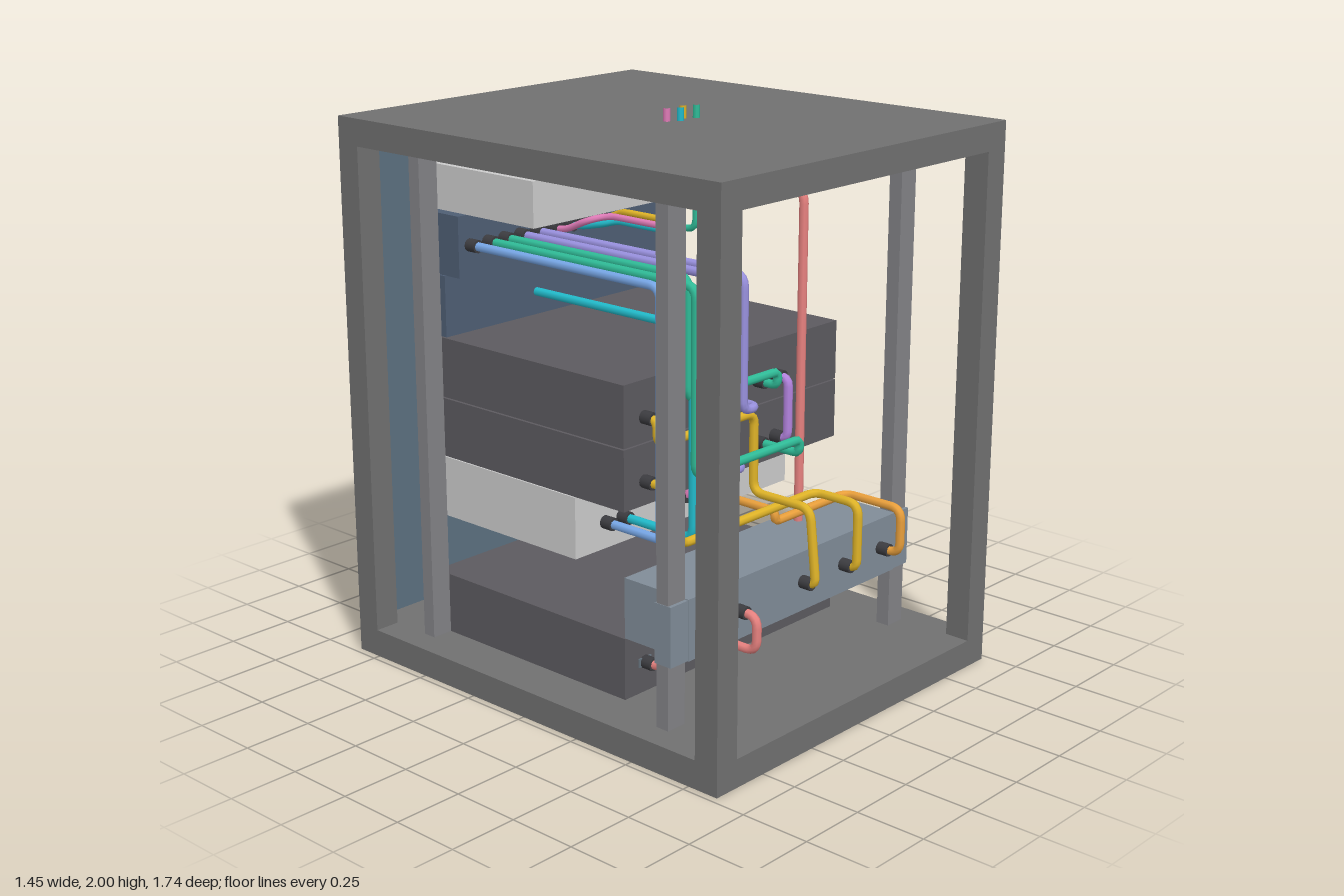
import * as THREE from 'three';

const mat = (color) => new THREE.MeshStandardMaterial({ color });
const frameMat = mat(0x707070), railMat = mat(0x828286), darkMat = mat(0x5c5a5f);
const lightMat = mat(0xcccccc), switchMat = mat(0x4e5e74), powerMat = mat(0x808c98);
const panelMat = mat(0x5c7080), plugMat = mat(0x3c3c40), portMat = mat(0x66747f);
const RED = mat(0xe88280), YELLOW = mat(0xe0b428), ORANGE = mat(0xeaa03c), TEAL = mat(0x30bc98);
const CYAN = mat(0x22bccc), BLUE = mat(0x78a8e8), LAVENDER = mat(0x9a92e0), PURPLE = mat(0xb484e0), PINK = mat(0xe07cb8);

// Polyline with rounded corners
function roundedPath(points, radius) {
  const p = points.map((a) => new THREE.Vector3(...a));
  const path = new THREE.CurvePath();
  let last = p[0];
  const line = (to) => {
    if (last.distanceTo(to) > 1e-4) path.add(new THREE.LineCurve3(last.clone(), to.clone()));
    last = to;
  };
  for (let i = 1; i < p.length - 1; i++) {
    const toPrev = p[i - 1].clone().sub(p[i]), toNext = p[i + 1].clone().sub(p[i]);
    const r = Math.min(radius, toPrev.length() * 0.49, toNext.length() * 0.49);
    const a = p[i].clone().addScaledVector(toPrev.normalize(), r);
    const b = p[i].clone().addScaledVector(toNext.normalize(), r);
    line(a);
    path.add(new THREE.QuadraticBezierCurve3(a, p[i], b));
    last = b;
  }
  line(p[p.length - 1]);
  return path;
}

export function createModel() {
  const root = new THREE.Group();
  root.name = 'equipmentRack';

  // Box given by its limits on each axis
  function box(name, material, [x0, x1], [y0, y1], [z0, z1], parent = root) {
    const mesh = new THREE.Mesh(new THREE.BoxGeometry(x1 - x0, y1 - y0, z1 - z0), material);
    mesh.position.set((x0 + x1) / 2, (y0 + y1) / 2, (z0 + z1) / 2);
    mesh.name = name;
    parent.add(mesh);
    return mesh;
  }

  // Cable tube; plugs sit on the ends that enter a device along z
  function cable(name, material, points, { r = 0.016, plugs = [true, true], bend = 0.045 } = {}) {
    const group = new THREE.Group();
    group.name = name;
    const path = roundedPath(points, bend);
    const tube = new THREE.Mesh(
      new THREE.TubeGeometry(path, Math.max(12, Math.ceil(path.getLength() / 0.014)), r, 8), material);
    tube.name = 'cableSleeve';
    group.add(tube);
    const ends = [[points[0], points[1]], [points[points.length - 1], points[points.length - 2]]];
    ends.forEach(([end, next], i) => {
      if (!plugs[i]) return;
      const plug = new THREE.Mesh(new THREE.CylinderGeometry(0.023, 0.023, 0.046, 12), plugMat);
      plug.rotation.x = Math.PI / 2;
      plug.position.set(end[0], end[1], end[2] + Math.sign(next[2] - end[2]) * 0.021);
      plug.name = 'plug';
      group.add(plug);
    });
    root.add(group);
  }

  // Cabinet: solid floor and roof, corner posts, back door
  box('floor', frameMat, [-0.725, 0.725], [0, 0.1], [-0.85, 0.87]);
  box('roof', frameMat, [-0.725, 0.725], [1.86, 1.955], [-0.85, 0.87]);
  box('backDoor', panelMat, [-0.625, 0.625], [0.1, 1.86], [-0.87, -0.848]);
  box('cableEntryPlate', plugMat, [-0.175, 0.175], [1.85, 1.862], [-0.005, 0.125]);
  for (const s of [-1, 1]) {
    const span = (a, b) => (s > 0 ? [a, b] : [-b, -a]);
    box('frontPost', frameMat, span(0.63, 0.725), [0.1, 1.86], [0.777, 0.87]);
    box('backPost', frameMat, span(0.63, 0.725), [0.1, 1.86], [-0.85, -0.755]);
    box('frontRail', railMat, span(0.55, 0.63), [0.1, 1.86], [0.526, 0.577]);
    box('backRail', railMat, span(0.55, 0.63), [0.1, 1.86], [-0.605, -0.555]);
    box('powerUnitEar', powerMat, span(0.548, 0.632), [0.325, 0.535], [0.52, 0.59]);
  }

  // Rack devices, bottom to top
  const W = [-0.55, 0.55];
  box('batteryUnit', darkMat, W, [0.1, 0.32], [-0.62, 0.31]);
  box('powerUnit', powerMat, W, [0.323, 0.538], [0.31, 0.592]);
  box('storageUnit', lightMat, W, [0.543, 0.762], [-0.62, 0.085]);
  box('lowerServer', darkMat, W, [0.765, 0.977], [-0.62, 0.31]);
  box('upperServer', darkMat, W, [0.982, 1.196], [-0.62, 0.31]);
  box('patchPanel', switchMat, W, [1.2, 1.417], [-0.605, -0.53]);
  box('networkSwitch', switchMat, W, [1.42, 1.635], [-0.615, -0.455]);
  box('router', lightMat, [-0.525, 0.52], [1.64, 1.797], [-0.62, -0.115]);
  for (const x of [-0.455, -0.3, -0.14, 0.015, 0.285])
    box('socket', portMat, [x - 0.03, x + 0.03], [0.195, 0.227], [0.3, 0.314]);
  box('routerSocket', portMat, [0.228, 0.292], [1.7, 1.735], [-0.12, -0.11]);

  // Cables coming in through the roof to the switch
  [[PINK, -0.06, 0.05, -0.115], [CYAN, -0.02, 0.075, -0.04], [YELLOW, 0.02, 0.05, 0.035], [TEAL, 0.06, 0.075, 0.115]]
    .forEach(([m, x, z, endX]) => {
      const y = z > 0.06 ? 1.57 : 1.595;
      cable('incomingCable', m, [[x, 2, z], [x, y, z], [x, y, -0.22], [endX, y - 0.015, -0.27],
        [endX, 1.53, -0.38], [endX, 1.53, -0.455]], { r: 0.012, plugs: [false, true], bend: 0.04 });
    });

  // Network cables: switch forward, down, across, then back into a device
  [[BLUE, -0.5, 0.425, 0.64, 0.64, -0.41, 0.085], [TEAL, -0.42, 0.505, 0.9, 0.85, 0.11, 0.31],
    [TEAL, -0.345, 0.405, 1.12, 1.07, 0.11, 0.31], [LAVENDER, -0.27, 0.46, 0.85, 0.85, -0.12, 0.31],
    [LAVENDER, -0.195, 0.51, 1.07, 1.07, -0.12, 0.31]].forEach(([m, x, z, yAcross, yEnd, endX, endZ]) => {
    const pts = [[x, 1.53, -0.455], [x, 1.53, z], [x, yAcross, z], [endX, yAcross, z]];
    if (yEnd !== yAcross) pts.push([endX, yEnd, z]);
    pts.push([endX, yEnd, endZ]);
    cable('networkCable', m, pts);
  });
  cable('serverLinkCable', PURPLE, [[0.205, 1.07, 0.31], [0.205, 1.07, 0.375], [0.205, 0.85, 0.375], [0.205, 0.85, 0.31]]);
  cable('storageToRouterCable', CYAN, [[-0.33, 0.64, 0.085], [-0.33, 0.64, 0.415], [-0.33, 1.283, 0.415],
    [-0.115, 1.283, 0.415], [-0.115, 1.283, -0.745], [-0.115, 1.72, -0.745], [-0.115, 1.72, -0.62]]);
  cable('storageFrontCable', PINK, [[-0.035, 0.64, 0.085], [-0.035, 0.64, 0.125], [-0.035, 0.687, 0.125],
    [0.25, 0.687, 0.125], [0.25, 0.687, 0.08]], { plugs: [true, false], bend: 0.03 });
  cable('storageBackCable', PINK, [[0, 0.645, -0.62], [0, 0.645, -0.725], [0, 1.53, -0.725], [0, 1.53, -0.615]]);
  cable('routerToSwitchCable', TEAL, [[0.12, 1.72, -0.62], [0.12, 1.72, -0.685], [0.12, 1.53, -0.685], [0.12, 1.53, -0.615]],
    { r: 0.013 });

  // Power cables
  cable('serverPowerCable', YELLOW, [[-0.455, 1.07, 0.31], [-0.455, 1.07, 0.37], [-0.455, 0.985, 0.37], [0.03, 0.985, 0.37],
    [0.03, 0.7, 0.37], [0.03, 0.7, 0.62], [0.03, 0.43, 0.65], [0.03, 0.43, 0.592]]);
  cable('serverPowerCable', YELLOW, [[-0.455, 0.85, 0.31], [-0.455, 0.85, 0.465], [-0.455, 0.665, 0.465], [0.25, 0.665, 0.465],
    [0.25, 0.665, 0.655], [0.25, 0.43, 0.655], [0.25, 0.43, 0.592]]);
  cable('storagePowerCable', ORANGE, [[0.07, 0.635, 0.085], [0.07, 0.635, 0.435], [0.07, 0.597, 0.435], [0.465, 0.597, 0.435],
    [0.465, 0.597, 0.68], [0.465, 0.43, 0.68], [0.465, 0.43, 0.592]]);
  cable('routerPowerCable', RED, [[0.26, 1.72, -0.115], [0.26, 1.72, 0.385], [0.26, 0.26, 0.385], [-0.3, 0.26, 0.385],
    [-0.3, 0.21, 0.385], [-0.3, 0.21, 0.31]]);
  cable('batteryPowerCable', RED, [[-0.31, 0.43, 0.592], [-0.31, 0.43, 0.678], [-0.31, 0.305, 0.678], [-0.31, 0.305, 0.4],
    [-0.455, 0.305, 0.4], [-0.455, 0.21, 0.4], [-0.455, 0.21, 0.31]]);

  return root;
}
